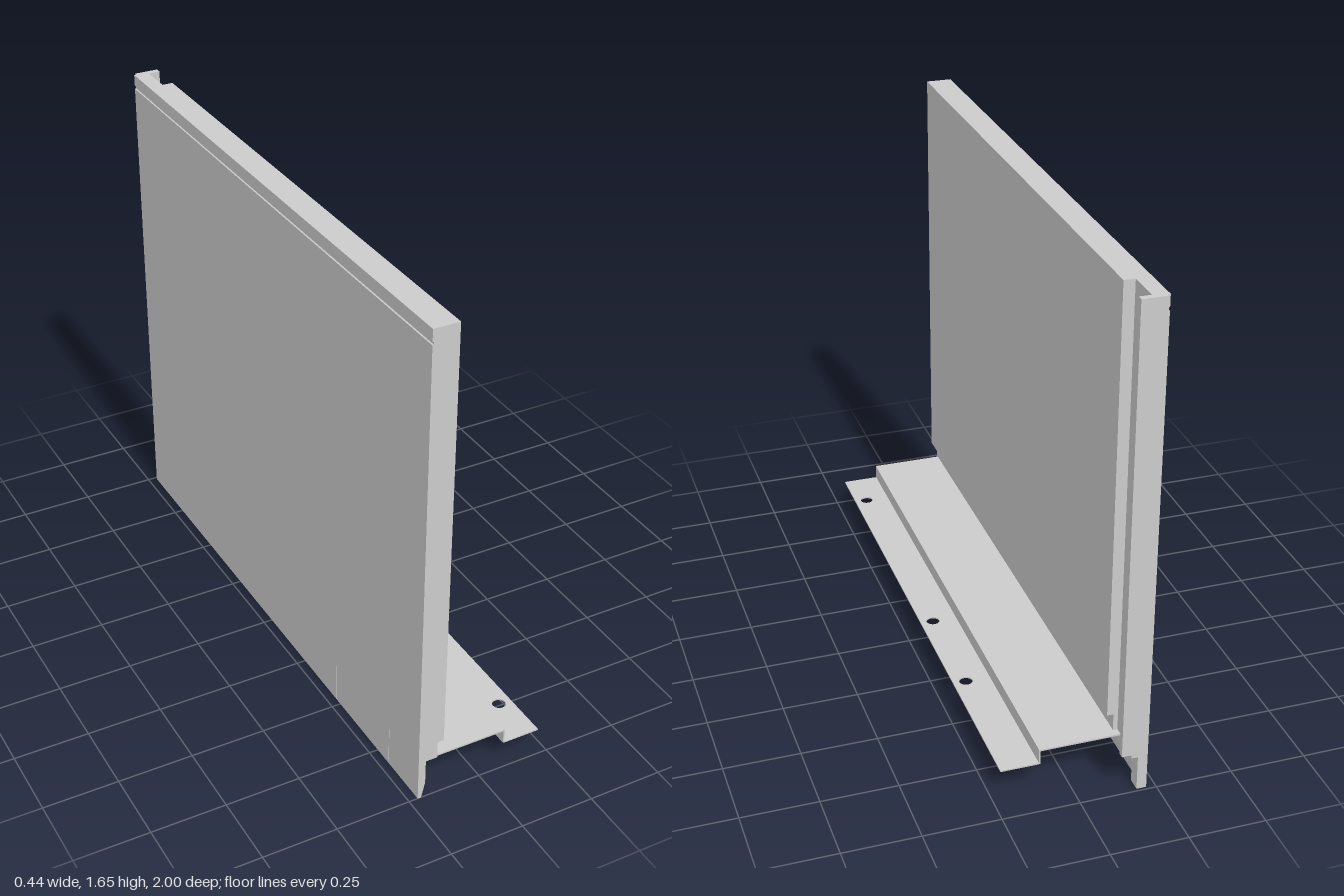
import * as THREE from 'three';

const material = new THREE.MeshStandardMaterial({ color: 0xcccccc, flatShading: true });

// Extrudes an x-y profile along z, from z0 to z1.
function extrudeZ(name, points, z0, z1) {
  const shape = new THREE.Shape(points.map(([x, y]) => new THREE.Vector2(x, y)));
  const geometry = new THREE.ExtrudeGeometry(shape, { depth: z1 - z0, bevelEnabled: false });
  geometry.translate(0, 0, z0);
  const mesh = new THREE.Mesh(geometry, material);
  mesh.name = name;
  return mesh;
}

// Box given by its limits on each axis.
function box(name, [x0, x1], [y0, y1], [z0, z1]) {
  const mesh = new THREE.Mesh(new THREE.BoxGeometry(x1 - x0, y1 - y0, z1 - z0), material);
  mesh.position.set((x0 + x1) / 2, (y0 + y1) / 2, (z0 + z1) / 2);
  mesh.name = name;
  return mesh;
}

export function createModel() {
  const model = new THREE.Group();
  model.name = 'panelWithBracket';

  const outer = -0.22, inner = -0.134, recess = -0.17;
  const top = 1.65, bottom = 0.14, front = 1, edge = -0.865, back = -0.99;

  // Outer face with a fine groove below the top edge
  const outerFace = [
    [outer, top], [outer, 1.612], [outer + 0.004, 1.61],
    [outer + 0.004, 1.602], [outer, 1.6], [outer, bottom],
  ];

  // Main panel, with a rebate along the lower inside edge
  model.add(extrudeZ('panel', [
    ...outerFace, [-0.155, bottom], [-0.155, 0.2], [inner, 0.2], [inner, top],
  ], edge, front));

  // Thinner rear edge of the panel and its upright lip
  model.add(extrudeZ('rearEdge', [...outerFace, [recess, bottom], [recess, top]], back, edge));
  model.add(box('rearLip', [-0.212, -0.131], [bottom, top], [-1, -0.98]));

  // Skirt below the panel in three lengths, tapering to its lower edge
  const skirtProfile = [
    [outer, 0], [-0.208, 0], [-0.195, 0.055], [-0.195, bottom], [outer, bottom],
  ];
  const joints = [-0.945, 0.476, 0.82, front];
  for (let i = 0; i < 3; i++) {
    const gap = i < 2 ? 0.002 : 0;
    model.add(extrudeZ('skirt' + (i + 1), skirtProfile, joints[i], joints[i + 1] - gap));
  }

  // Rear corner block with a tab rising into the recess
  model.add(box('cornerBlock', [outer, -0.188], [0, bottom], [back, -0.945]));
  model.add(box('cornerTab', [-0.19, -0.167], [bottom - 0.02, 0.2], [back, -0.945]));

  // Stepped sheet bracket
  const bracket = new THREE.Group();
  bracket.name = 'bracket';
  const t = 0.005, z0 = -0.89, z1 = 0.99;
  bracket.add(extrudeZ('bracketStep', [
    [-0.195, bottom - t], [0.095 - t, bottom - t], [0.095 - t, 0.088],
    [0.095, 0.088], [0.095, bottom + 0.001], [-0.195, bottom + 0.001],
  ], z0, z1));

  // Mounting flange with three screw holes
  const flange = new THREE.Shape([
    new THREE.Vector2(0.094, -z1), new THREE.Vector2(0.219, -z1),
    new THREE.Vector2(0.219, -z0), new THREE.Vector2(0.094, -z0),
  ]);
  for (const z of [-0.41, -0.04, 0.83]) {
    flange.holes.push(new THREE.Path().absarc(0.176, -z, 0.022, 0, Math.PI * 2, true));
  }
  const flangeGeometry = new THREE.ExtrudeGeometry(flange, { depth: t, bevelEnabled: false, curveSegments: 24 });
  flangeGeometry.rotateX(-Math.PI / 2);
  flangeGeometry.translate(0, 0.087, 0);
  const flangeMesh = new THREE.Mesh(flangeGeometry, material);
  flangeMesh.name = 'mountingFlange';
  bracket.add(flangeMesh);
  model.add(bracket);

  return model;
}
